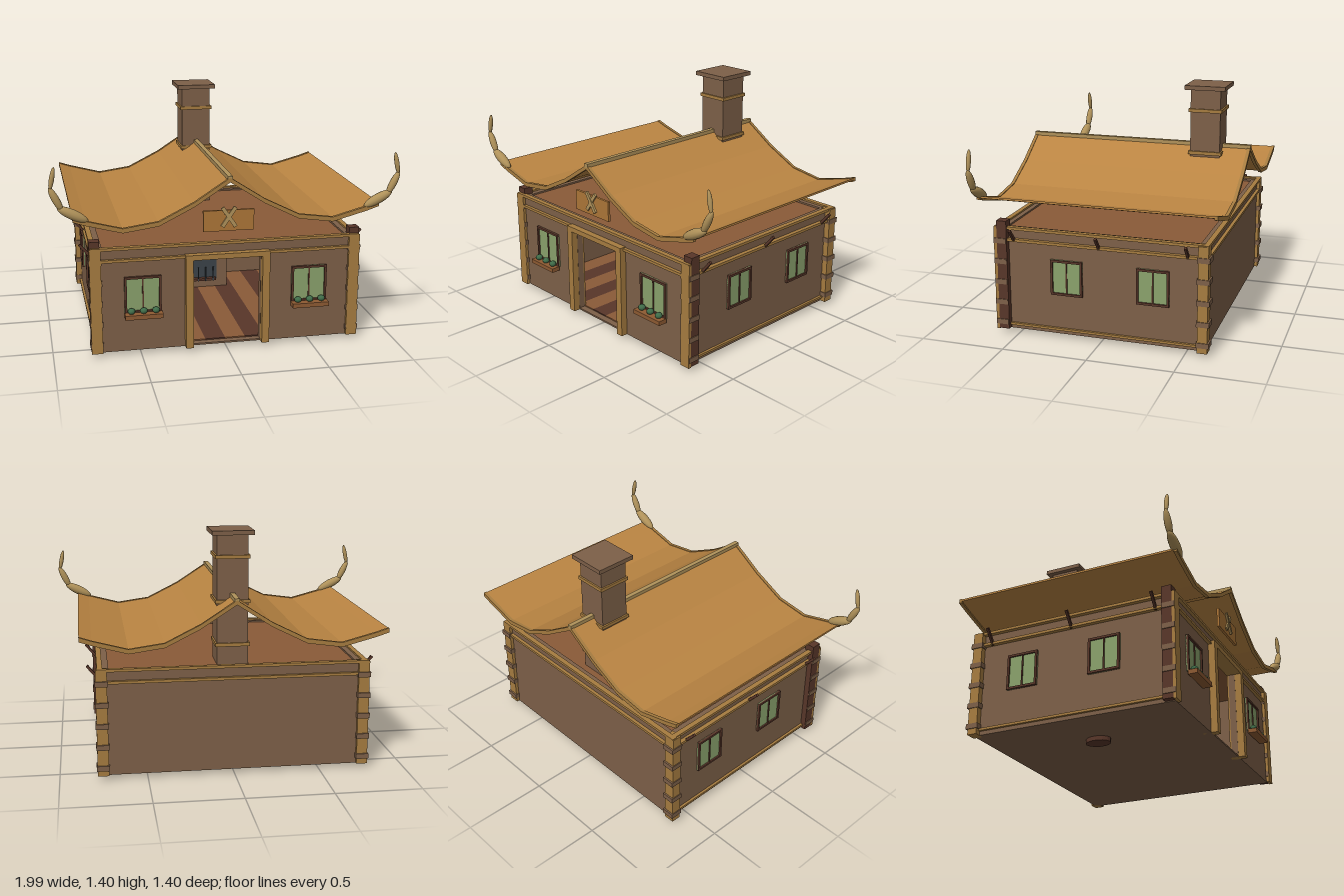
import * as THREE from 'three';

const C = {
  wall: 0x7d6048, tan: 0xa67c40, dark: 0x583629, roof: 0xb98442, pane: 0x8aa26c, plank: 0x8a5a38,
  iron: 0x3b4349, leaf: 0x3f6b48, horn: 0xb0925a, planter: 0x8d5a32, sign: 0xad7638, light: 0xd9a25e,
};
const mats = {};
const mat = (c) => (mats[c] ??= new THREE.MeshStandardMaterial({ color: C[c], flatShading: c !== 'horn' && c !== 'leaf', side: THREE.DoubleSide }));

function add(parent, name, geo, color, x = 0, y = 0, z = 0) {
  const m = new THREE.Mesh(geo, mat(color));
  m.name = name;
  m.position.set(x, y, z);
  parent.add(m);
  return m;
}

// box given by its min and max on each axis
function box(parent, name, color, x0, x1, y0, y1, z0, z1) {
  return add(parent, name, new THREE.BoxGeometry(x1 - x0, y1 - y0, z1 - z0), color, (x0 + x1) / 2, (y0 + y1) / 2, (z0 + z1) / 2);
}

function group(parent, name) {
  const g = new THREE.Group();
  g.name = name;
  parent.add(g);
  return g;
}

// framed window facing +z, centred on its own origin
function makeWindow(parent, w, h) {
  const g = group(parent, 'window');
  const f = 0.013;
  box(g, 'windowPane', 'pane', -w / 2, w / 2, -h / 2, h / 2, 0, 0.006);
  for (const s of [-1, 1]) {
    add(g, 'windowFrameSide', new THREE.BoxGeometry(f, h, 0.016), 'dark', s * (w - f) / 2, 0, 0.008);
    add(g, 'windowFrameEdge', new THREE.BoxGeometry(w, f, 0.016), 'dark', 0, s * (h - f) / 2, 0.008);
  }
  add(g, 'windowMullion', new THREE.BoxGeometry(0.008, h, 0.012), 'dark', 0, 0, 0.006);
  return g;
}

// strip extruded along z that follows the sagging roof line
const roofLine = [[0, 1.03], [0.2, 0.9], [0.4, 0.8], [0.6, 0.772], [0.8, 0.825], [0.87, 0.848]];
function roofStrip(parent, name, color, t, z0, z1) {
  const full = [...roofLine.slice(1).reverse().map(([x, y]) => [-x, y]), ...roofLine];
  const pts = [...full, ...full.slice().reverse().map(([x, y]) => [x, y - t])];
  const shape = new THREE.Shape(pts.map(([x, y]) => new THREE.Vector2(x, y)));
  return add(parent, name, new THREE.ExtrudeGeometry(shape, { depth: z1 - z0, bevelEnabled: false }), color, 0, 0, z0);
}

function buildWalls(root) {
  const g = group(root, 'walls');
  // front wall with door opening
  const s = new THREE.Shape();
  [[-0.75, 0.03], [-0.2, 0.03], [-0.2, 0.56], [0.2, 0.56], [0.2, 0.03], [0.75, 0.03], [0.75, 0.64], [-0.75, 0.64]]
    .forEach(([x, y], i) => (i ? s.lineTo(x, y) : s.moveTo(x, y)));
  add(g, 'frontWall', new THREE.ExtrudeGeometry(s, { depth: 0.04, bevelEnabled: false }), 'wall', 0, 0, 0.57);
  box(g, 'backWall', 'wall', -0.75, 0.75, 0.03, 0.64, -0.61, -0.57);
  for (const k of [-1, 1]) add(g, 'sideWall', new THREE.BoxGeometry(0.04, 0.61, 1.14), 'wall', k * 0.73, 0.335, 0);
  box(g, 'ceiling', 'plank', -0.74, 0.74, 0.615, 0.63, -0.6, 0.6);
  box(g, 'floorBase', 'wall', -0.75, 0.75, 0.025, 0.035, -0.61, 0.61);
  for (let i = 0; i < 12; i++) {
    const x = -0.708 + i * 0.118;
    box(g, 'floorPlank', i % 2 ? 'dark' : 'plank', x, x + 0.118, 0.035, 0.042, -0.57, 0.57);
  }
  // horizontal trim beams
  for (const k of [-1, 1]) {
    for (const [y, h] of [[0.642, 0.016], [0.572, 0.016]]) {
      add(g, 'trimBeam', new THREE.BoxGeometry(1.56, h, 0.03), 'tan', 0, y, k * 0.615);
      add(g, 'sideTrimBeam', new THREE.BoxGeometry(0.03, h, 1.25), 'tan', k * 0.76, y, 0);
    }
    add(g, 'sideBottomTrim', new THREE.BoxGeometry(0.02, 0.014, 1.15), 'tan', k * 0.755, 0.055, 0);
    // corner posts and log ends
    box(g, 'frontPost', 'dark', k * 0.755 - 0.03, k * 0.755 + 0.03, 0.03, 0.685, 0.552, 0.612);
    box(g, 'frontPostFace', 'tan', k * 0.753 - 0.032, k * 0.753 + 0.032, 0.025, 0.645, 0.612, 0.63);
    box(g, 'backPost', 'tan', k * 0.753 - 0.032, k * 0.753 + 0.032, 0.025, 0.645, -0.63, -0.572);
    for (let i = 0; i < 5; i++) {
      const y = 0.073 + i * 0.1235;
      for (const z of [0.592, -0.603]) {
        add(g, 'logEnd', new THREE.BoxGeometry(0.074, 0.03, 0.074), 'wall', k * 0.753, y, z);
      }
    }
    // slanted eave struts
    for (const z of [0.512, 0, -0.512]) {
      const m = add(g, 'eaveStrut', new THREE.BoxGeometry(0.015, 0.105, 0.015), 'dark', k * 0.795, 0.605, z);
      m.rotation.z = -k * 0.7;
    }
    // side windows
    for (const z of [0.2, -0.31]) {
      const w = makeWindow(g, 0.19, 0.21);
      w.position.set(k * 0.75, 0.37, z);
      w.rotation.y = k * Math.PI / 2;
    }
    // front windows with flower boxes
    makeWindow(g, 0.21, 0.215).position.set(k * 0.487, 0.364, 0.61);
    box(g, 'flowerBox', 'planter', k * 0.487 - 0.108, k * 0.487 + 0.108, 0.234, 0.26, 0.62, 0.675);
    for (const dx of [-0.07, 0, 0.07]) {
      add(g, 'flowerBush', new THREE.SphereGeometry(0.022, 10, 8), 'leaf', k * 0.487 + dx, 0.275, 0.643).scale.y = 0.8;
    }
    // door posts
    box(g, 'doorPost', 'tan', k * 0.223 - 0.022, k * 0.223 + 0.022, 0.025, 0.585, 0.56, 0.65);
  }
  box(g, 'doorLintel', 'tan', -0.245, 0.245, 0.555, 0.585, 0.56, 0.65);
}

function buildChimney(root) {
  const g = group(root, 'chimney');
  const z = -0.435;
  const block = (name, color, hx, hz, y0, y1) => box(g, name, color, -hx, hx, y0, y1, z - hz, z + hz);
  block('chimneyStack', 'wall', 0.09, 0.09, 0.5, 1.375);
  block('chimneyCap', 'wall', 0.12, 0.122, 1.375, 1.4);
  for (const y of [0.745, 0.995, 1.25]) block('chimneyBand', 'tan', 0.1, 0.1, y - 0.01, y + 0.01);
  // hearth with hood and grate
  block('smokeHood', 'iron', 0.155, 0.12, 0.33, 0.555);
  block('hearth', 'wall', 0.2, 0.13, 0.04, 0.33);
  box(g, 'fireOpening', 'iron', -0.13, 0.13, 0.095, 0.28, -0.306, -0.3);
  box(g, 'emberBed', 'dark', -0.1, 0.12, 0.095, 0.11, -0.3, -0.27);
  for (let i = -2; i <= 2; i++) box(g, 'grateBar', 'iron', i * 0.05 - 0.004, i * 0.05 + 0.004, 0.095, 0.19, -0.27, -0.262);
}

function buildForge(root) {
  // anvil on a stump, with a hammer hung on the hood
  const g = group(root, 'anvilStand');
  add(g, 'stump', new THREE.CylinderGeometry(0.055, 0.055, 0.2, 14), 'dark', -0.415, 0.1, 0).scale.z = 1.35;
  box(g, 'anvilFoot', 'iron', -0.46, -0.37, 0.2, 0.22, -0.05, 0.05);
  box(g, 'anvilWaist', 'iron', -0.44, -0.39, 0.22, 0.25, -0.035, 0.035);
  box(g, 'anvilTop', 'iron', -0.46, -0.37, 0.25, 0.285, -0.08, 0.08);
  add(g, 'anvilPoint', new THREE.ConeGeometry(0.025, 0.08, 8), 'iron', -0.415, 0.268, 0.12).rotation.x = Math.PI / 2;
  const h = group(root, 'hammer');
  box(h, 'hammerHead', 'light', -0.022, 0.022, 0.435, 0.505, -0.31, -0.28);
  add(h, 'hammerHandle', new THREE.BoxGeometry(0.014, 0.1, 0.012), 'tan', -0.025, 0.5, -0.29).rotation.z = -0.5;
  add(h, 'hammerPeg', new THREE.BoxGeometry(0.075, 0.025, 0.02), 'tan', -0.01, 0.532, -0.29).rotation.z = -0.35;
}

function buildRoof(root) {
  const g = group(root, 'roof');
  roofStrip(g, 'roofSheet', 'roof', 0.012, -0.685, 0.675);
  for (const [z0, z1] of [[0.665, 0.685], [-0.695, -0.675]]) {
    roofStrip(g, 'roofEdgeTrim', 'tan', 0.026, z0, z1).position.y = 0.004;
  }
  box(g, 'ridgePole', 'horn', -0.014, 0.014, 1.018, 1.043, -0.695, 0.685);
  // curled horns: tapering segments between points
  const horn = [[0.785, 0.825, 0.95, 0.91, 0.029], [0.92, 0.885, 0.99, 1.025, 0.021], [0.985, 1.005, 0.96, 1.135, 0.014]];
  for (const k of [-1, 1]) {
    for (const [x0, y0, x1, y1, r] of horn) {
      const d = new THREE.Vector3(k * (x1 - x0), y1 - y0, 0);
      const m = add(g, 'hornSegment', new THREE.SphereGeometry(1, 14, 10), 'horn', k * (x0 + x1) / 2, (y0 + y1) / 2, 0.672);
      m.scale.set(r, d.length() / 2, r);
      m.quaternion.setFromUnitVectors(new THREE.Vector3(0, 1, 0), d.normalize());
    }
  }
}

function buildSign(root) {
  // board with crossed slats
  const g = group(root, 'signBoard');
  box(g, 'board', 'sign', -0.146, 0.146, 0.72, 0.84, 0.635, 0.65);
  for (const k of [-1, 1]) {
    add(g, 'crossSlat', new THREE.BoxGeometry(0.022, 0.135, 0.012), 'horn', 0, 0.802, 0.655 + k * 0.002).rotation.z = k * 0.6;
  }
}

export function createModel() {
  const root = new THREE.Group();
  root.name = 'cabin';
  buildWalls(root);
  buildChimney(root);
  buildForge(root);
  buildRoof(root);
  buildSign(root);
  return root;
}
